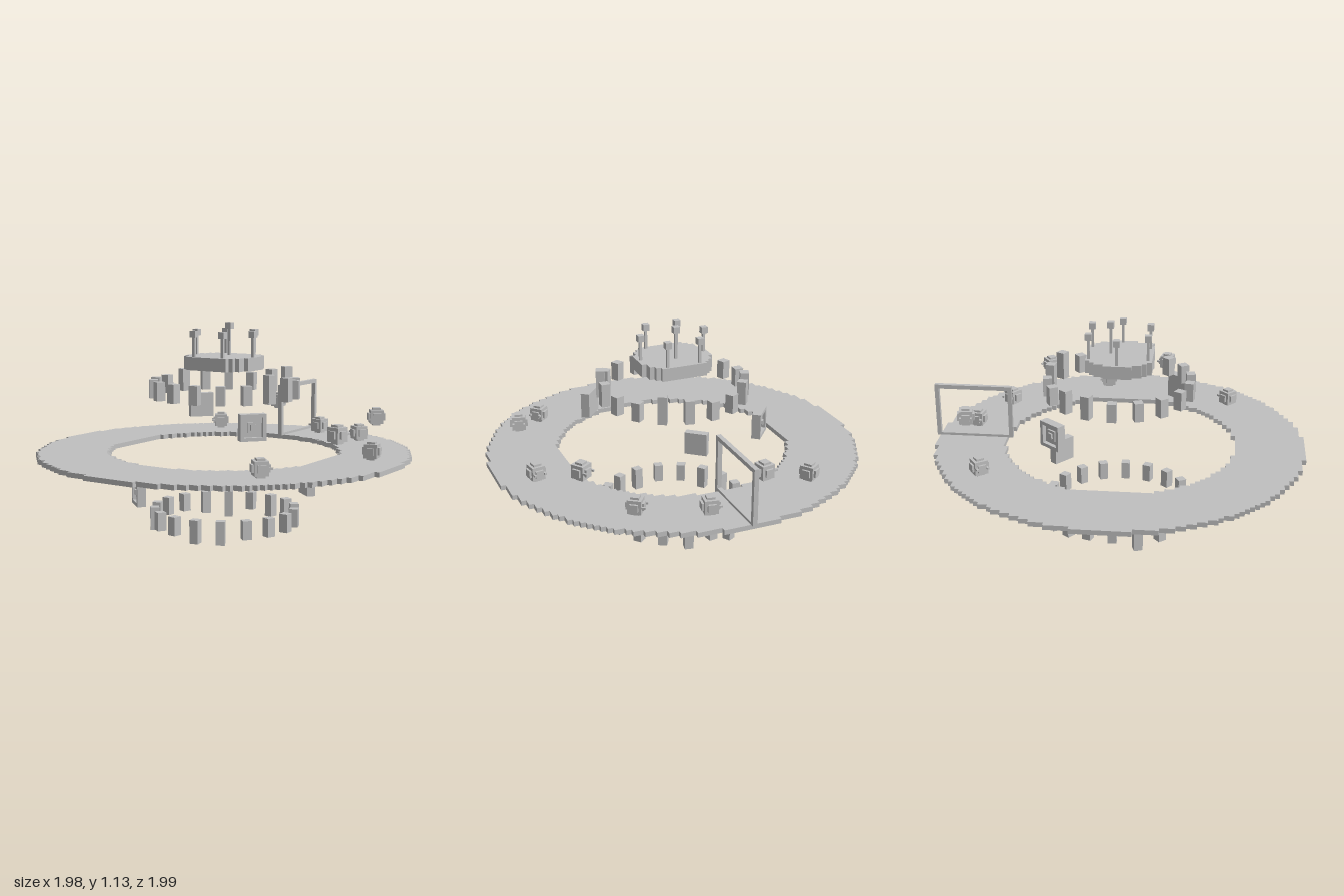
import * as THREE from 'three';

const CELL = 0.0247;

export function createModel() {
  const model = new THREE.Group();
  const grey = new THREE.MeshStandardMaterial({ color: 0xc0c0c0 });
  grey.name = 'lightGrey';

  const add = (parent, name, geometry, x = 0, y = 0, z = 0) => {
    const mesh = new THREE.Mesh(geometry, grey);
    mesh.name = name;
    mesh.position.set(x, y, z);
    parent.add(mesh);
    return mesh;
  };
  const box = (parent, name, w, h, d, x, y, z) =>
    add(parent, name, new THREE.BoxGeometry(w, h, d), x, y, z);

  // Group on a circle, its local x pointing outward
  const radial = (name, radius, degrees, y) => {
    const a = THREE.MathUtils.degToRad(degrees);
    const g = new THREE.Group();
    g.name = name;
    g.position.set(radius * Math.cos(a), y, radius * Math.sin(a));
    g.rotation.y = -a;
    model.add(g);
    return g;
  };

  // Stepped circle outline on the cell grid
  const steppedCircle = (radius, rows, maxWidth = radius) => {
    const right = [];
    for (let j = -rows; j < rows; j++) {
      const c = j + 0.5;
      const w = Math.min(maxWidth, Math.floor(Math.sqrt(radius * radius - c * c) + 0.5)) * CELL;
      right.push(new THREE.Vector2(w, j * CELL), new THREE.Vector2(w, (j + 1) * CELL));
    }
    // keep corners only
    const corners = right.filter((p, i) =>
      i === 0 || i === right.length - 1 || p.x !== right[i - 1].x || p.x !== right[i + 1].x);
    const left = corners.map(p => new THREE.Vector2(-p.x, p.y)).reverse();
    return corners.concat(left);
  };
  const slab = (shape, height) =>
    new THREE.ExtrudeGeometry(shape, { depth: height, bevelEnabled: false }).rotateX(-Math.PI / 2);

  // Large flat ring
  const ringShape = new THREE.Shape(steppedCircle(40, 40));
  ringShape.holes.push(new THREE.Path(steppedCircle(25, 25, 24)));
  add(model, 'ring', slab(ringShape, CELL), 0, 0.437, 0.006);

  // Central platform with masts
  add(model, 'platform', slab(new THREE.Shape(steppedCircle(8, 7)), 0.069), 0, 0.897, 0.006);
  const mast = (x, z, top) => {
    const g = new THREE.Group();
    g.name = 'mast';
    g.position.set(x, 0, z);
    model.add(g);
    const h = top - 0.034 - 0.96;
    box(g, 'mastPole', 0.014, h, 0.014, 0, 0.96 + h / 2, 0);
    box(g, 'mastLamp', 0.034, 0.034, 0.034, 0, top - 0.017, 0);
  };
  for (let i = 0; i < 6; i++) {
    const a = i * Math.PI / 3;
    mast(0.178 * Math.cos(a), 0.178 * Math.sin(a) + 0.003, 1.102);
  }
  mast(0, -0.045, 1.14);

  // Upper and lower circles of pillars, four to six cells long
  const upperLong = { 1: 2, 15: 2, 0: 1, 10: 1, 11: 1, 14: 1 };
  const lowerLong = { 8: 2, 12: 2, 3: 1, 4: 1, 7: 1, 11: 1, 14: 1 };
  for (let i = 0; i < 18; i++) {
    const up = (4 + (upperLong[i] || 0)) * CELL;
    const down = (4 + (lowerLong[i] || 0)) * CELL;
    box(radial('upperPillar', 0.38, i * 20, 0.745), 'pillarBlock', 0.047, up, 0.047, 0, up / 2, 0);
    box(radial('lowerPillar', 0.38, i * 20, 0.155), 'pillarBlock', 0.047, down, 0.047, 0, -down / 2, 0);
  }

  // Square panels with a recessed outer face
  for (const [degrees, y] of [[40, 0.648], [220, 0.648], [130, 0.254], [310, 0.254]]) {
    const g = radial('panel', 0.474, degrees, y);
    box(g, 'panelBack', 0.025, 0.135, 0.135, -0.011, 0, 0);
    for (const s of [-1, 1]) {
      box(g, 'panelRail', 0.022, 0.018, 0.135, 0.0125, s * 0.0585, 0);
      box(g, 'panelStile', 0.022, 0.099, 0.018, 0.0125, 0, s * 0.0585);
    }
    box(g, 'panelStep', 0.01, 0.054, 0.054, 0.0065, 0, 0);
    box(g, 'panelKnob', 0.01, 0.028, 0.028, 0.0165, 0, 0);
  }

  // Gate frame across the back of the ring
  const gate = new THREE.Group();
  gate.name = 'gate';
  model.add(gate);
  box(gate, 'innerPost', 0.024, 0.294, 0.022, 0, 0.608, -0.592);
  box(gate, 'outerPost', 0.024, 0.294, 0.022, 0, 0.608, -0.989);
  box(gate, 'topBar', 0.024, 0.022, 0.419, 0, 0.744, -0.7905);
  box(gate, 'bottomBar', 0.024, 0.014, 0.375, 0, 0.468, -0.7905);

  // Cube drones resting on or hovering above the ring
  const drones = [[45, 0], [15, 1], [-10, 0], [-35, 1], [-55, 0], [-80, 0], [-100, 1], [-125, 0]];
  for (const [degrees, hovering] of drones) {
    const g = radial('drone', 0.816, degrees, hovering ? 0.637 : 0.508);
    box(g, 'droneBody', 0.07, 0.072, 0.07, 0, 0, 0);
    for (const s of [-1, 1]) {
      box(g, 'capPlate', 0.042, 0.011, 0.042, 0, s * 0.0415, 0);
      box(g, 'sidePlate', 0.011, 0.038, 0.042, s * 0.0405, 0, 0);
      box(g, 'facePlate', 0.042, 0.038, 0.011, 0, 0, s * 0.0405);
      box(g, 'prong', 0.01, 0.01, 0.02, s * 0.028, 0, -0.045);
    }
  }

  return model;
}
